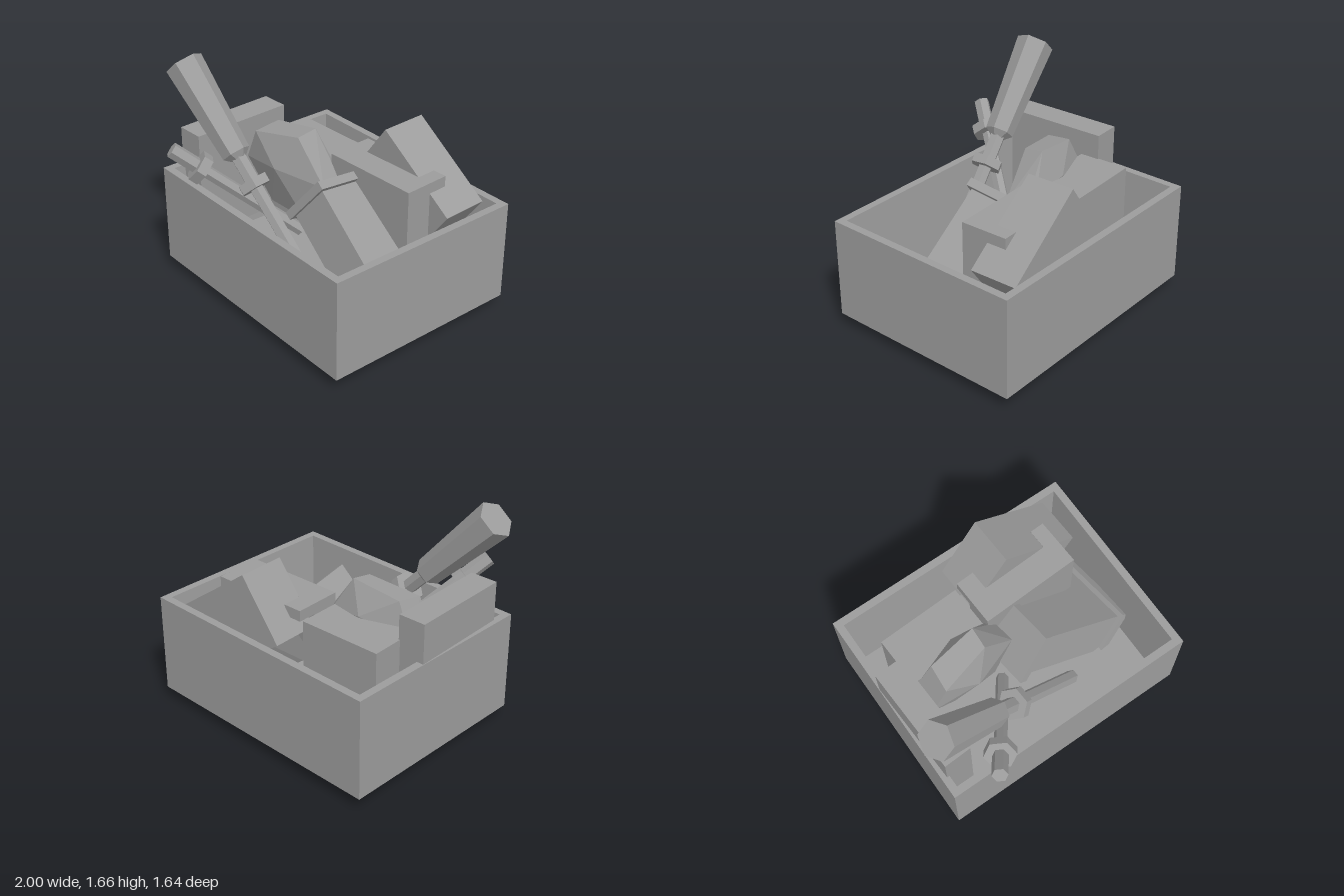
import * as THREE from 'three';
import { ConvexGeometry } from 'three/addons/geometries/ConvexGeometry.js';

const V = (x, y, z) => new THREE.Vector3(x, y, z);
const material = new THREE.MeshStandardMaterial({ color: 0x9c9c9c, flatShading: true });

function addMesh(parent, name, geometry, x = 0, y = 0, z = 0) {
  const mesh = new THREE.Mesh(geometry, material);
  mesh.name = name;
  mesh.position.set(x, y, z);
  parent.add(mesh);
  return mesh;
}

// Axis-aligned box given by its x, y and z ranges
function addBlock(parent, name, [x0, x1], [y0, y1], [z0, z1]) {
  addMesh(parent, name, new THREE.BoxGeometry(x1 - x0, y1 - y0, z1 - z0),
    (x0 + x1) / 2, (y0 + y1) / 2, (z0 + z1) / 2);
}

// Open crate: outer bottom, outer rim, inner rim and inner floor joined in loops
function crateGeometry() {
  const rings = [[0.94, 0.08, 0.74], [0.94, 0.805, 0.74], [0.885, 0.805, 0.685], [0.835, 0.17, 0.635]]
    .map(([x, y, z]) => [V(-x, y, z), V(x, y, z), V(x, y, -z), V(-x, y, -z)]);
  const points = [];
  const quad = (a, b, c, d) => points.push(a, b, c, a, c, d);
  for (let r = 0; r < 3; r++) {
    for (let i = 0; i < 4; i++) {
      const j = (i + 1) % 4;
      quad(rings[r][i], rings[r][j], rings[r + 1][j], rings[r + 1][i]);
    }
  }
  quad(...rings[3]);
  quad(...[...rings[0]].reverse());
  const geometry = new THREE.BufferGeometry().setFromPoints(points);
  geometry.computeVertexNormals();
  return geometry;
}

// Six-sided turned part laid along a line; profile is [radius, distance from the top]
function addTurned(parent, name, start, direction, roll, profile) {
  const points = profile.map(([r, d]) => new THREE.Vector2(r, -d)).reverse();
  const mesh = addMesh(parent, name, new THREE.LatheGeometry(points, 6), start.x, start.y, start.z);
  mesh.quaternion.setFromUnitVectors(V(0, -1, 0), direction.clone().normalize());
  mesh.rotateY(roll);
}

export function createModel() {
  const model = new THREE.Group();
  model.name = 'toyCrate';

  const crate = addMesh(model, 'crate', crateGeometry(), 0.028, 0, -0.04);
  crate.rotation.y = -0.0425;

  // Plain blocks along the left and the back
  addBlock(model, 'tallBlock', [-0.9, -0.7], [0.3, 1.09], [-0.24, 0.52]);
  addBlock(model, 'lowBlock', [-0.71, -0.09], [0.3, 0.91], [-0.47, -0.1]);

  // Block balanced on its corner
  const tilted = addMesh(model, 'tiltedBlock', new THREE.BoxGeometry(0.73, 0.505, 0.345), 0.388, 0.79, -0.503);
  tilted.rotation.z = -0.63;

  // Notched block with two tabs at its back
  const notched = new THREE.Group();
  notched.name = 'notchedBlock';
  addBlock(notched, 'body', [-0.07, 0.668], [0.5, 0.978], [-0.335, -0.13]);
  addBlock(notched, 'rightTab', [-0.07, 0.065], [0.9, 0.978], [-0.475, -0.335]);
  addBlock(notched, 'leftTab', [0.563, 0.668], [0.9, 0.978], [-0.475, -0.335]);
  model.add(notched);

  // Thick book lying at a slant: a core between two covers
  const book = new THREE.Group();
  book.name = 'book';
  addMesh(book, 'pages', new THREE.BoxGeometry(0.82, 0.34, 0.54));
  for (const side of [-1, 1]) {
    addMesh(book, side < 0 ? 'upperCover' : 'lowerCover', new THREE.BoxGeometry(0.06, 0.42, 0.6), side * 0.435);
  }
  const w = V(0.045, 0.147, 0.99).normalize();
  const u = V(0.62, 0.77, -0.13).cross(w).normalize();
  const v = w.clone().cross(u);
  book.quaternion.setFromRotationMatrix(new THREE.Matrix4().makeBasis(u, v, w));
  book.position.set(0.386, 0.487, -0.035);
  model.add(book);

  // Faceted ball
  addMesh(model, 'facetedBall', new ConvexGeometry([
    V(-0.57, 1.07, -0.08), V(-0.21, 1.125, -0.11), V(-0.22, 1.1, 0.04), V(-0.59, 1.04, 0.11),
    V(0, 0.81, -0.14), V(0.02, 0.8, 0.02), V(-0.35, 0.85, 0.15), V(-0.62, 0.87, 0.11),
    V(-0.33, 0.92, -0.2), V(-0.06, 0.86, -0.17), V(-0.7, 0.81, -0.11), V(-0.7, 0.8, 0.1),
    V(-0.5, 0.5, -0.1), V(-0.15, 0.5, -0.1), V(-0.15, 0.5, 0.05), V(-0.5, 0.5, 0.05),
  ]));

  // Bat: a thick barrel, then a thin handle with a collar
  const bat = new THREE.Group();
  bat.name = 'bat';
  const batTop = V(-0.9, 1.558, 0.465);
  const batDirection = V(0.69, -0.74, -0.065);
  addTurned(bat, 'barrel', batTop, batDirection, 0.63,
    [[0, 0], [0.134, 0], [0.1, 0.71], [0.055, 0.75], [0, 0.75]]);
  addTurned(bat, 'handle', batTop, batDirection, 0, [
    [0, 0.7], [0.055, 0.7], [0.055, 0.92], [0.115, 0.92], [0.115, 0.985],
    [0.05, 0.985], [0.05, 1.78], [0, 1.78],
  ]);
  model.add(bat);

  // Smaller stick with a collar
  addTurned(model, 'stick', V(-0.66, 1.095, 0.775), V(0.49, -0.6, -0.62), 0, [
    [0, 0], [0.055, 0], [0.055, 0.2], [0.112, 0.2], [0.112, 0.27],
    [0.045, 0.27], [0.045, 1.08], [0, 1.08],
  ]);

  return model;
}
